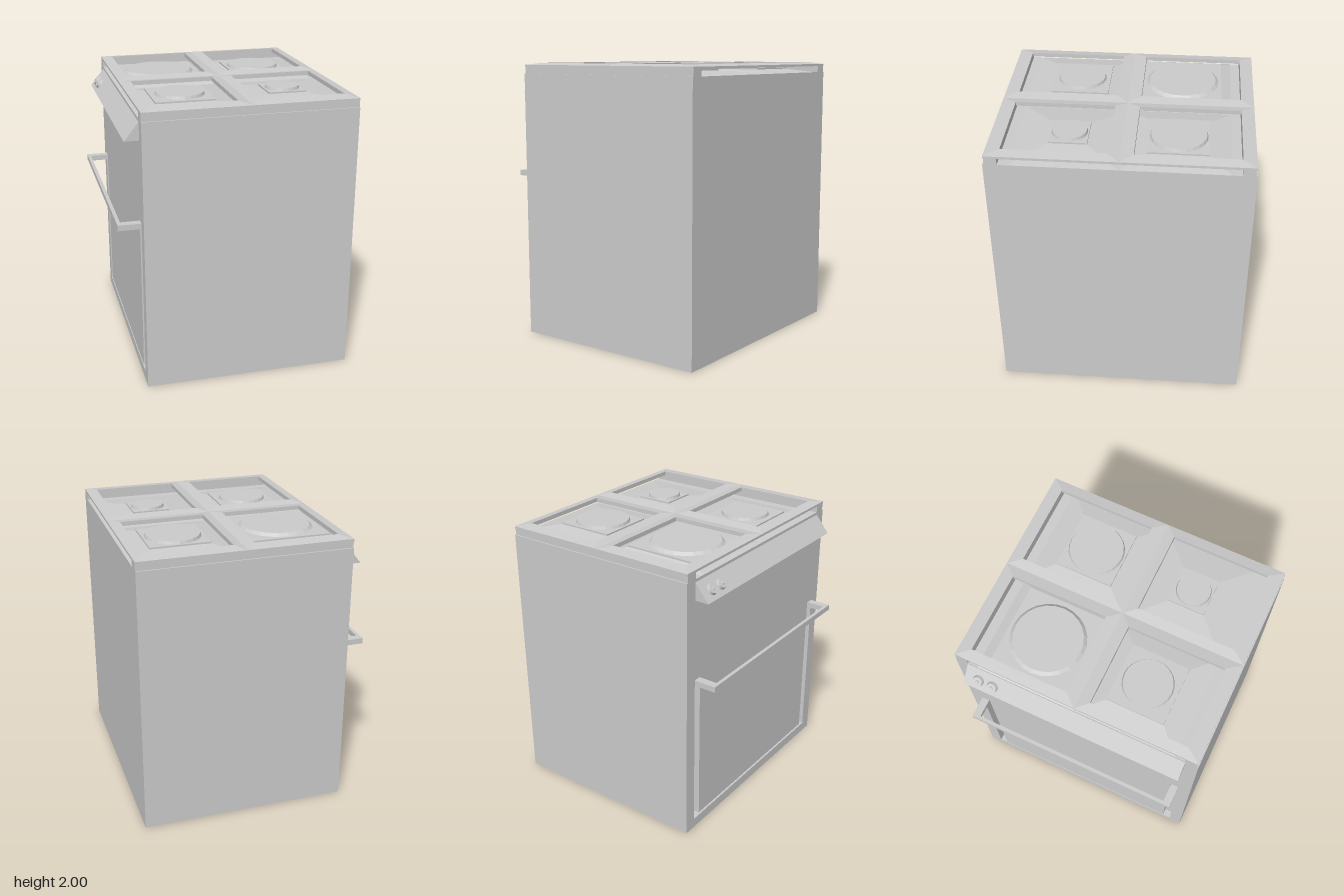
import * as THREE from 'three';

const material = new THREE.MeshStandardMaterial({ color: 0xcccccc, flatShading: true });

function add(parent, name, geometry) {
  const mesh = new THREE.Mesh(geometry, material);
  mesh.name = name;
  parent.add(mesh);
  return mesh;
}

// Box given by its limits on each axis
function box(parent, name, x0, x1, y0, y1, z0, z1) {
  const g = new THREE.BoxGeometry(x1 - x0, y1 - y0, z1 - z0);
  g.translate((x0 + x1) / 2, (y0 + y1) / 2, (z0 + z1) / 2);
  return add(parent, name, g);
}

// Joins a series of horizontal rectangles [x0, x1, z0, z1, y]
function rectLoft(rects) {
  const rings = rects.map(([x0, x1, z0, z1, y]) => [[x0, y, z1], [x1, y, z1], [x1, y, z0], [x0, y, z0]]);
  const points = [];
  for (let r = 0; r < rings.length - 1; r++) {
    for (let i = 0; i < 4; i++) {
      const j = (i + 1) % 4, a = rings[r], b = rings[r + 1];
      points.push(...a[i], ...a[j], ...b[j], ...a[i], ...b[j], ...b[i]);
    }
  }
  const g = new THREE.BufferGeometry();
  g.setAttribute('position', new THREE.Float32BufferAttribute(points, 3));
  g.computeVertexNormals();
  return g;
}

function rectPath(PathType, x0, x1, y0, y1) {
  return new PathType([[x0, y0], [x1, y0], [x1, y1], [x0, y1]].map(p => new THREE.Vector2(...p)));
}

export function createModel() {
  const group = new THREE.Group();
  group.name = 'stove';
  const BODY_TOP = 1.925;

  // Cabinet, with a recessed opening on the door side
  box(group, 'cabinet', -0.61, 0.82, 0, BODY_TOP, -0.88, 0.88);
  const face = rectPath(THREE.Shape, -0.88, 0.88, 0, BODY_TOP);
  face.holes.push(rectPath(THREE.Path, -0.79, 0.79, 0.07, 1.205));
  const frame = new THREE.ExtrudeGeometry(face, { depth: 0.05, bevelEnabled: false });
  frame.rotateY(-Math.PI / 2).translate(-0.61, 0, 0);
  add(group, 'doorFrame', frame);

  // Oven door and its handle
  box(group, 'ovenDoor', -0.62, -0.66, 0.09, 1.205, -0.73, 0.73).geometry.dispose();
  group.children.pop();
  box(group, 'ovenDoor', -0.66, -0.61, 0.09, 1.205, -0.73, 0.73);
  const handle = new THREE.Group();
  handle.name = 'doorHandle';
  group.add(handle);
  box(handle, 'handleBar', -0.82, -0.795, 1.165, 1.205, -0.79, 0.79);
  for (const s of [-1, 1]) {
    const [z0, z1] = s < 0 ? [-0.79, -0.735] : [0.735, 0.79];
    box(handle, 'handleArm', -0.795, -0.61, 1.165, 1.205, z0, z1);
  }

  // Sloped control panel
  const wedge = new THREE.Shape([[-0.76, 1.78], [-0.66, 1.78], [-0.66, 1.905]].map(p => new THREE.Vector2(...p)));
  const panel = new THREE.ExtrudeGeometry(wedge, { depth: 1.58, bevelEnabled: false });
  panel.translate(0, 0, -0.79);
  add(group, 'controlPanel', panel);

  // Knobs standing square to the panel slope
  for (const z of [-0.69, -0.585]) {
    const knob = new THREE.Group();
    knob.name = 'knob';
    add(knob, 'knobDisc', new THREE.CylinderGeometry(0.034, 0.04, 0.02, 16).translate(0, 0.01, 0));
    add(knob, 'knobCap', new THREE.CylinderGeometry(0.009, 0.012, 0.008, 10).translate(0, 0.024, 0));
    knob.position.set(-0.715, 1.836, z);
    knob.rotation.z = Math.atan2(0.125, 0.1);
    group.add(knob);
  }

  // Hob: raised surround with four wells, open along the two x sides
  const hob = new THREE.Group();
  hob.name = 'hob';
  group.add(hob);
  box(hob, 'backSkirt', -0.66, 0.82, BODY_TOP, 1.972, -0.87, -0.785);
  box(hob, 'frontSkirt', -0.66, 0.82, BODY_TOP, 1.972, 0.785, 0.87);

  // Each burner: centre, plate half sizes, plate centre z, disc radius, bevel
  const burners = [
    { x: -0.295, z: -0.37, hx: 0.29, hz: 0.28, r: 0.26, bevel: 0.022 },
    { x: 0.445, z: -0.37, hx: 0.21, hz: 0.205, r: 0.195, bevel: 0.008 },
    { x: -0.295, z: 0.36, hx: 0.21, hz: 0.205, r: 0.174, bevel: 0.008 },
    { x: 0.445, z: 0.36, hx: 0.135, hz: 0.13, r: 0.122, bevel: 0.006 },
  ];
  for (const { x, z, hx, hz, r, bevel } of burners) {
    const [x0, x1] = x < 0 ? [-0.66, 0.08] : [0.08, 0.82];
    const [z0, z1] = z < 0 ? [-0.875, 0] : [0, 0.875];
    const [w0, w1] = x < 0 ? [-0.585, 0.003] : [0.15, 0.745];
    const [d0, d1] = z < 0 ? [-0.785, -0.09] : [0.08, 0.775];
    const [m0, m1] = z < 0 ? [-0.72, 0] : [0, 0.72];

    // Surround sloping up to the edge of the well
    add(hob, 'wellSurround', rectLoft([
      [x0, x1, z0, z1, 1.97], [x0, x1, z0, z1, 1.987], [w0, w1, d0, d1, 2],
      [w0, w1, d0, d1, 1.97], [x0, x1, z0, z1, 1.97],
    ]));
    // Low mound, square plate and round burner
    add(hob, 'burnerMound', rectLoft([
      [x0, x1, m0, m1, BODY_TOP], [x - hx, x + hx, z - hz, z + hz, 1.952],
    ]));
    box(hob, 'burnerPlate', x - hx, x + hx, 1.945, 1.963, z - hz, z + hz);
    const disc = new THREE.CylinderGeometry(r - bevel, r, 0.02, 24);
    disc.translate(x, 1.973, z);
    add(hob, 'burnerDisc', disc);
  }
  return group;
}
